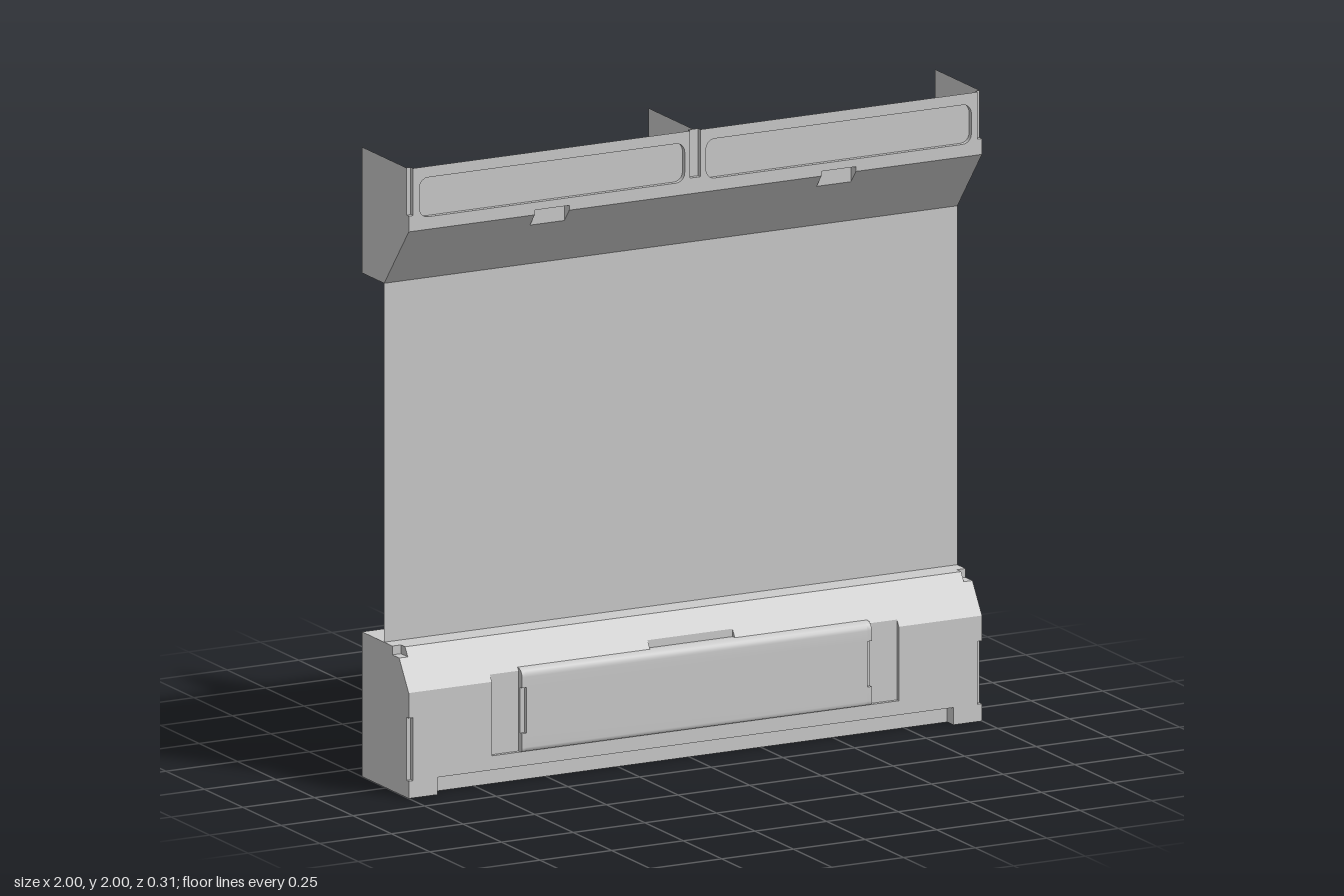
import * as THREE from 'three';
import { mergeGeometries } from 'three/addons/utils/BufferGeometryUtils.js';

const BACK = -0.157, FRONT = 0.147, WALL = -0.013, NOTCH = 0.132;
const mat = new THREE.MeshStandardMaterial({ color: 0xcccccc, side: THREE.DoubleSide });

// depth of the folded front surfaces as a function of height
const upperZ = y => Math.min(FRONT, WALL + (y - 1.6) * 0.8);
const lowerZ = y => Math.min(FRONT, FRONT - (y - 0.335) * 0.64);

// flat 2D outline (array of [u,v]) mapped into space
function sheet(pts, map, holes = []) {
  const vec = p => new THREE.Vector2(p[0], p[1]);
  const shape = new THREE.Shape(pts.map(vec));
  shape.holes = holes.map(h => new THREE.Path(h.map(vec)));
  const g = new THREE.ShapeGeometry(shape);
  const p = g.attributes.position;
  for (let i = 0; i < p.count; i++) p.setXYZ(i, ...map(p.getX(i), p.getY(i)));
  g.deleteAttribute('uv');
  g.computeVertexNormals();
  return g;
}
const rect = (a, b, c, d) => [[a, c], [b, c], [b, d], [a, d]];
const front = (pts, zs, holes) => sheet(pts, (x, y) => [x, y, zs(y)], holes);
const side = (pts, x) => sheet(pts, (z, y) => [x, y, z]);
const level = (pts, y) => sheet(pts, (x, z) => [x, y, z]);

// mirror a half outline (x >= 0) across x = 0
const sym = half => [...half, ...half.filter(p => p[0] > 0).map(p => [-p[0], p[1]]).reverse()];

// ruled strip between two rows of points, shared vertices give smooth shading
function strip(rowA, rowB) {
  const pos = [], idx = [];
  rowA.forEach((a, i) => {
    pos.push(...a, ...rowB[i]);
    if (i) idx.push(2 * i - 2, 2 * i - 1, 2 * i, 2 * i - 1, 2 * i + 1, 2 * i);
  });
  const g = new THREE.BufferGeometry();
  g.setAttribute('position', new THREE.Float32BufferAttribute(pos, 3));
  g.setIndex(idx);
  g.computeVertexNormals();
  return g;
}

// box-shaped pocket sunk into a front surface; openX / openY list the missing walls
function pocket(x0, x1, y0, y1, zb, zs, fold, openX = [], openY = []) {
  const out = [front(rect(x0, x1, y0, y1), () => zb)];
  for (const y of [y0, y1]) {
    if (!openY.includes(y) && zs(y) - zb > 0.001) out.push(level(rect(x0, x1, zb, zs(y)), y));
  }
  const prof = [[zs(y0), y0]];
  if (fold > y0 && fold < y1) prof.push([zs(fold), fold]);
  prof.push([zs(y1), y1], [zb, y1], [zb, y0]);
  for (const x of [x0, x1]) if (!openX.includes(x)) out.push(side(prof, x));
  return out;
}
// the same pocket on both sides
const pockets = (x0, x1, y0, y1, zb, zs, fold, ox = [], oy = []) => [
  ...pocket(x0, x1, y0, y1, zb, zs, fold, ox, oy),
  ...pocket(-x1, -x0, y0, y1, zb, zs, fold, ox.map(v => -v), oy)];

// rounded rectangle outline
function roundRect(x0, x1, y0, y1, r) {
  const pts = [];
  [[x1 - r, y0 + r, -1], [x1 - r, y1 - r, 0], [x0 + r, y1 - r, 1], [x0 + r, y0 + r, 2]].forEach(([cx, cy, q]) => {
    for (let i = 0; i <= 5; i++) {
      const a = (q + i / 5) * Math.PI / 2;
      pts.push([cx + r * Math.cos(a), cy + r * Math.sin(a)]);
    }
  });
  return pts;
}

export function createModel() {
  const model = new THREE.Group();
  const add = (name, geos) => {
    const m = new THREE.Mesh(mergeGeometries(geos), mat);
    m.name = name;
    model.add(m);
  };

  // main wall
  add('wallPanel', [front(rect(-1, 1, 0.46, 1.6), () => WALL)]);

  // upper locker fronts with rounded inset panels
  const insets = [roundRect(0.037, 0.963, 1.84, 1.965, 0.03), roundRect(-0.963, -0.037, 1.84, 1.965, 0.03)];
  const upperFront = sym([[0, 1.8], [0.44, 1.8], [0.44, 1.815], [0.56, 1.815], [0.56, 1.8], [1, 1.8],
    [1, 1.85], [0.985, 1.85], [0.985, 2], [0.018, 2], [0.018, 1.85], [0, 1.85]]);
  add('upperFront', [front(upperFront, upperZ, insets)]);
  add('insetPanels', insets.flatMap(o => {
    const loop = [...o, o[0]];
    return [front(o, () => NOTCH),
      strip(loop.map(([x, y]) => [x, y, FRONT]), loop.map(([x, y]) => [x, y, NOTCH]))];
  }));

  // sloping underside and shelf behind it
  add('upperSlope', [front(sym([[0, 1.6], [1, 1.6], [1, 1.8], [0.56, 1.8], [0.56, 1.76],
    [0.44, 1.76], [0.44, 1.8], [0, 1.8]]), upperZ)]);
  add('upperShelf', [level(rect(-1, 1, BACK, WALL), 1.6)]);

  // latch pockets on the fold and vertical grooves between lockers
  add('latchPockets', pockets(0.44, 0.56, 1.76, 1.815, upperZ(1.76), upperZ, 1.8));
  add('upperGrooves', [...pockets(0.985, 1, 1.85, 2, NOTCH, upperZ, 0, [1], [2]),
    ...pocket(-0.018, 0.018, 1.85, 2, NOTCH, upperZ, 0, [], [2])]);

  // end caps and centre divider
  const upperCap = [[BACK, 1.6], [WALL, 1.6], [FRONT, 1.8], [FRONT, 1.85], [NOTCH, 1.85], [NOTCH, 2], [BACK, 2]];
  add('upperDividers', [-1, 0, 1].map(x => side(upperCap, x)));

  // lower cabinet front, slope and top
  add('lowerFront', [front(sym([[0, 0.055], [0.9, 0.055], [0.9, 0], [1, 0], [1, 0.055], [0.985, 0.055],
    [0.985, 0.255], [1, 0.255], [1, 0.335], [0.71, 0.335], [0.71, 0.1], [0, 0.1]]), lowerZ)]);
  add('lowerSlope', [front(sym([[0, 0.39], [0.148, 0.39], [0.148, 0.365], [0.61, 0.365], [0.61, 0.355],
    [0.71, 0.355], [0.71, 0.335], [1, 0.335], [1, 0.432], [0.97, 0.432], [0.97, 0.46], [0, 0.46]]), lowerZ)]);
  const topZ = lowerZ(0.46);
  add('lowerTop', [level(sym([[0, BACK], [1, BACK], [1, 0.04], [0.97, 0.04], [0.97, topZ], [0, topZ]]), 0.46)]);

  // lower end caps, stepped around the notches
  const lowerCap = [[BACK, 0], [FRONT, 0], [FRONT, 0.055], [NOTCH, 0.055], [NOTCH, 0.255], [FRONT, 0.255],
    [FRONT, 0.335], [lowerZ(0.432), 0.432], [0.04, 0.432], [0.04, 0.46], [BACK, 0.46]];
  add('lowerEndCaps', [-1, 1].map(x => side(lowerCap, x)));
  add('lowerNotches', [...pockets(0.985, 1, 0.055, 0.255, NOTCH, lowerZ, 0, [1]),
    ...pockets(0.97, 1, 0.432, 0.46, 0.04, lowerZ, 0, [1], [0.46])]);

  // toe recess, pockets beside the cushion and finger tab above it
  add('toeRecess', pocket(-0.9, 0.9, 0, 0.055, 0.107, lowerZ, 1, [], [0]));
  add('cushionPockets', pockets(0.61, 0.71, 0.1, 0.355, lowerZ(0.355), lowerZ, 0.335, [0.61]));
  add('fingerTab', pocket(-0.148, 0.148, 0.365, 0.39, lowerZ(0.39), lowerZ, 1));

  // bulging cushion plate with notched ends
  const low = [[FRONT, 0.1], [0.152, 0.102], [0.156, 0.107], [0.157, 0.115], [0.157, 0.16]];
  const high = [[0.157, 0.305], [0.157, 0.338], [0.155, 0.348], [0.15, 0.356], [0.141, 0.362], [lowerZ(0.365), 0.365]];
  const bulge = (prof, x0, x1) => strip(prof.map(([z, y]) => [x0, y, z]), prof.map(([z, y]) => [x1, y, z]));
  const zb = 0.145, inner = lowerZ(0.355);
  const plate = [bulge([...low, ...high], -0.595, 0.595)];
  for (const s of [-1, 1]) {
    plate.push(bulge(low, 0.595 * s, 0.61 * s), bulge(high, 0.595 * s, 0.61 * s));
    plate.push(side([...low, [zb, 0.16], [zb, 0.305], ...high, [inner, 0.355], [inner, 0.1]], 0.61 * s));
  }
  plate.push(...pockets(0.595, 0.61, 0.16, 0.305, zb, () => 0.157, 0, [0.61]));
  add('cushionPlate', plate);

  return model;
}
